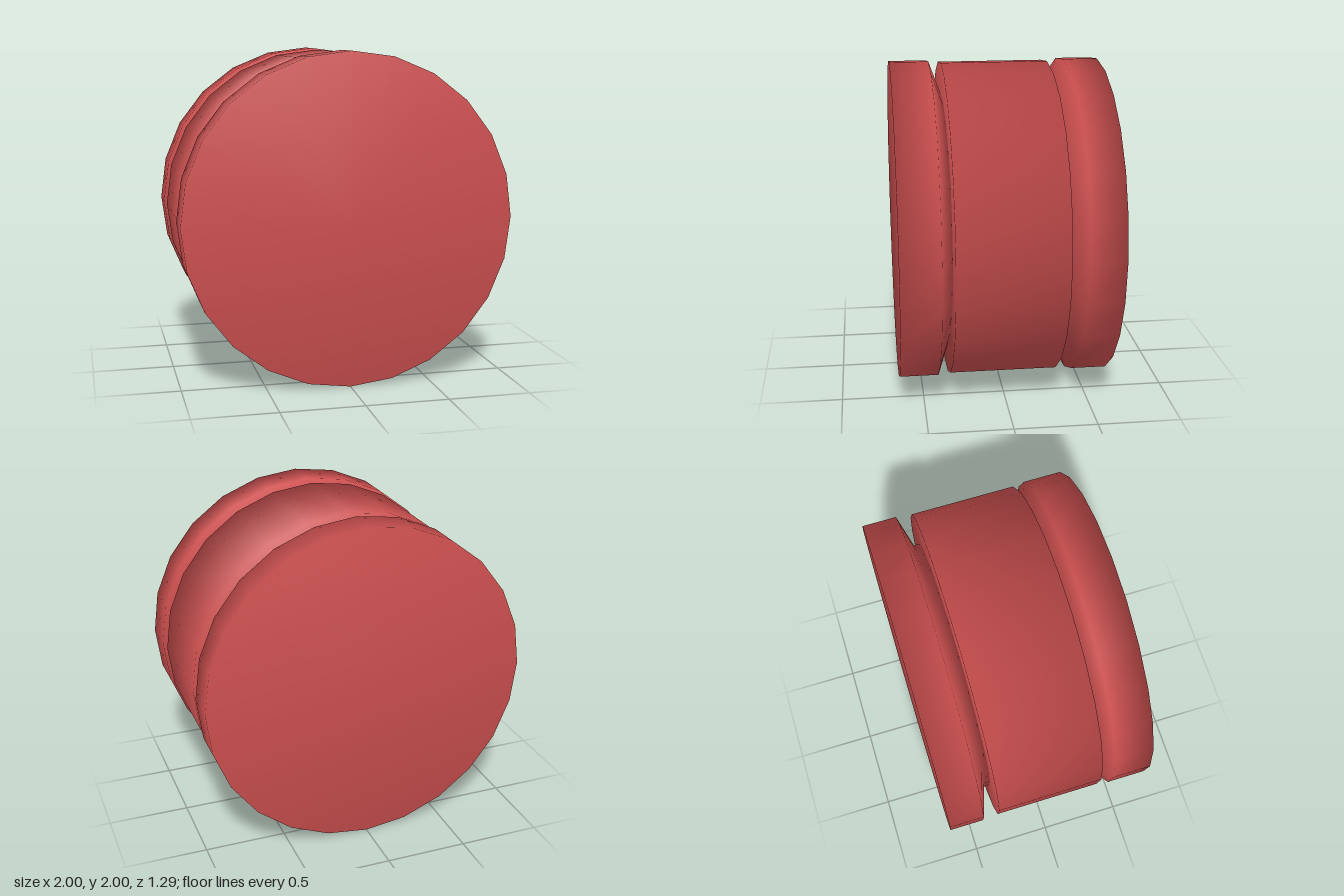
import * as THREE from 'three';

const SIDES = 24;

// Profile points are [radius, z], listed from back to front
function turned(name, profile, material) {
  const points = profile.map(([r, z]) => new THREE.Vector2(r, z));
  const geometry = new THREE.LatheGeometry(points, SIDES);
  geometry.rotateX(Math.PI / 2);
  const mesh = new THREE.Mesh(geometry, material);
  mesh.name = name;
  mesh.position.y = 1;
  return mesh;
}

export function createModel() {
  const group = new THREE.Group();
  group.name = 'groovedRoller';
  const red = new THREE.MeshStandardMaterial({ color: 0xcc4f4f });

  // Back rim with a bevel down to a short neck
  group.add(turned('backRim', [
    [0, -0.645], [1, -0.645], [1, -0.43], [0.8, -0.37], [0.8, -0.33], [0, -0.33],
  ], red));

  // Wide middle drum
  group.add(turned('middleDrum', [
    [0, -0.33], [0.99, -0.33], [0.99, 0.33], [0, 0.33],
  ], red));

  // Front rim, bevelled straight into the drum
  group.add(turned('frontRim', [
    [0, 0.33], [0.79, 0.33], [1, 0.405], [1, 0.645], [0, 0.645],
  ], red));

  return group;
}
